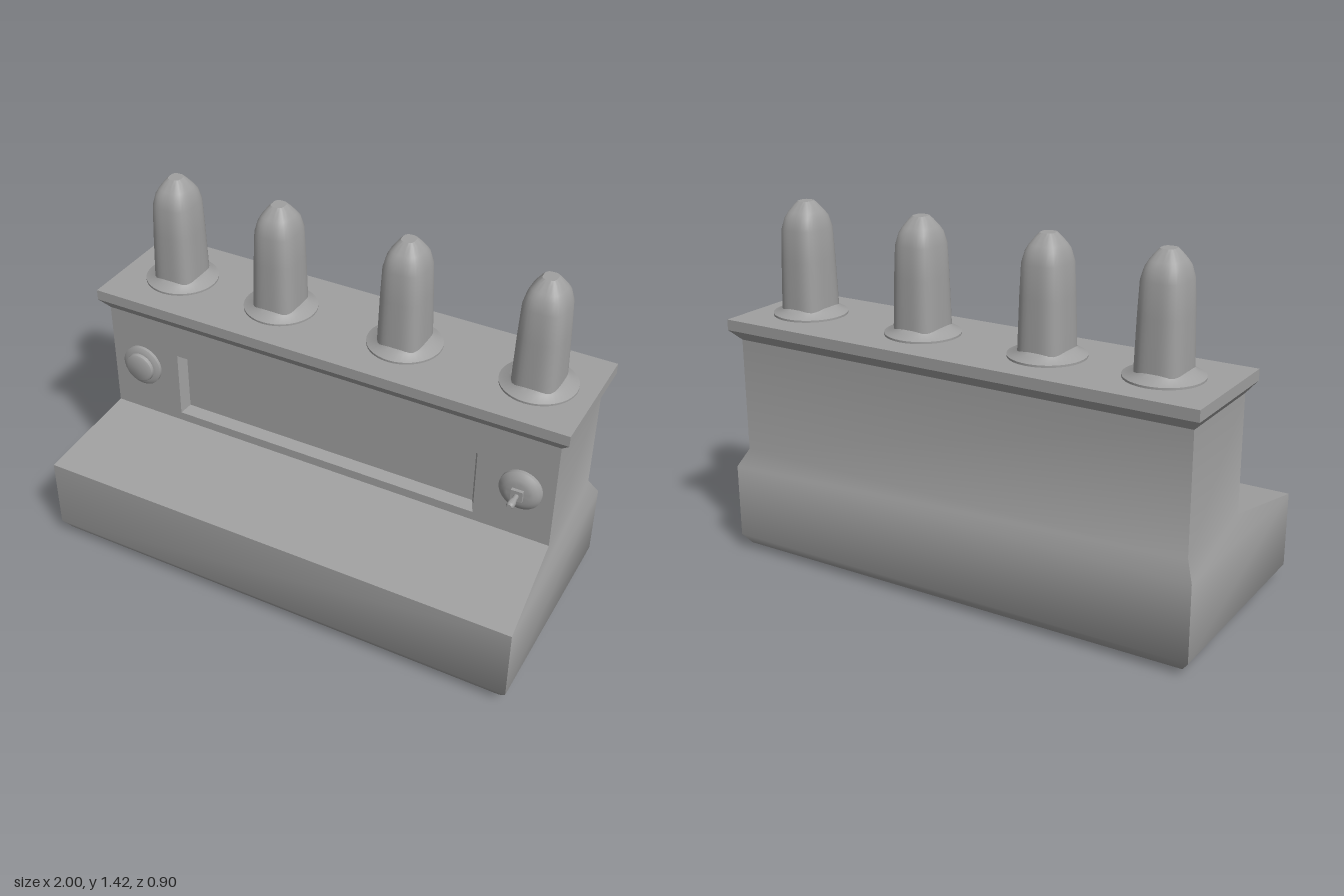
import * as THREE from 'three';
import { toCreasedNormals } from 'three/addons/utils/BufferGeometryUtils.js';

const grey = new THREE.MeshStandardMaterial({ color: 0xa0a0a0 });
grey.name = 'plain grey';

// Joins equal-length loops of points with quads; skip(section, side) leaves a quad open.
function loft(sections, { start = true, end = true, skip = () => false, crease = 0.72 } = {}) {
  const pos = [];
  const tri = (...pts) => pts.forEach((p) => pos.push(p.x, p.y, p.z));
  const n = sections[0].length;
  for (let s = 0; s < sections.length - 1; s++) {
    const lo = sections[s], hi = sections[s + 1];
    for (let i = 0; i < n; i++) {
      if (skip(s, i)) continue;
      const j = (i + 1) % n;
      tri(lo[i], lo[j], hi[j]);
      tri(lo[i], hi[j], hi[i]);
    }
  }
  const first = sections[0], last = sections[sections.length - 1];
  for (let i = 1; i < n - 1; i++) {
    if (start) tri(first[0], first[i + 1], first[i]);
    if (end) tri(last[0], last[i], last[i + 1]);
  }
  const geometry = new THREE.BufferGeometry();
  geometry.setAttribute('position', new THREE.Float32BufferAttribute(pos, 3));
  return toCreasedNormals(geometry, crease);
}

// Horizontal rectangle, front edge first
const slab = (y, x, back, front) => [
  [-x, front], [x, front], [x, back], [-x, back],
].map(([px, pz]) => new THREE.Vector3(px, y, pz));

// Upright rectangle facing the front
const panel = (z, x0, x1, y0, y1) => [
  [x0, y0], [x1, y0], [x1, y1], [x0, y1],
].map(([px, py]) => new THREE.Vector3(px, py, z));

// Horizontal rounded square; power 2 is an ellipse, higher is squarer
function roundedRing(y, rx, rz, power, sides = 40) {
  return Array.from({ length: sides }, (_, i) => {
    const t = (i / sides) * Math.PI * 2;
    const s = Math.sin(t), c = Math.cos(t);
    const k = Math.pow(Math.abs(s) ** power + Math.abs(c) ** power, -1 / power);
    return new THREE.Vector3(s * k * rx, y, c * k * rz);
  });
}

// Turned shape whose axis points to the front: profile of [radius, depth]
function turned(profile, sides = 32) {
  const points = profile.map(([r, d]) => new THREE.Vector2(r, d));
  return toCreasedNormals(new THREE.LatheGeometry(points, sides).rotateX(Math.PI / 2), 0.6);
}

export function createModel() {
  const model = new THREE.Group();
  model.name = 'console';
  const add = (name, geometry, parent = model) => {
    const mesh = new THREE.Mesh(geometry, grey);
    mesh.name = name;
    parent.add(mesh);
    return mesh;
  };

  // Stepped base and upright cabinet, with the cabinet front left open
  add('body', loft([
    slab(0, 0.93, -0.38, 0.38),
    slab(0.02, 0.97, -0.425, 0.425),
    slab(0.06, 1, -0.45, 0.45),
    slab(0.36, 1, -0.45, 0.45),
    slab(0.43, 0.965, -0.41, 0.02),
    slab(0.89, 0.965, -0.41, 0.02),
  ], { end: false, skip: (s, i) => s === 4 && i === 0 }));

  // Cabinet front with the window opening
  const toPath = (Type, pts) => new Type(pts.map((p) => new THREE.Vector2(p.x, p.y)));
  const rim = panel(0.02, -0.655, 0.655, 0.467, 0.75);
  const front = toPath(THREE.Shape, panel(0.02, -0.965, 0.965, 0.43, 0.89));
  front.holes.push(toPath(THREE.Path, rim));
  add('cabinetFront', new THREE.ShapeGeometry(front).translate(0, 0, 0.02));

  // Sloped window frame and its back panel
  add('windowRecess', loft([rim, panel(-0.02, -0.635, 0.635, 0.488, 0.733)],
    { start: false, crease: 0.2 }));

  // Overhanging lid with a bevelled underside
  add('lid', loft([
    slab(0.89, 0.965, -0.41, 0.02),
    slab(0.933, 1, -0.45, 0.052),
    slab(0.976, 1, -0.45, 0.052),
  ], { crease: 0.3 }));

  // Four rounded-square posts, each on a round flange
  const flange = loft([
    roundedRing(0.97, 0.147, 0.147, 2),
    roundedRing(0.984, 0.147, 0.147, 2),
    roundedRing(1.0, 0.11, 0.12, 2),
    roundedRing(1.012, 0.092, 0.104, 2.6),
  ]);
  const post = loft([
    roundedRing(0.975, 0.092, 0.104, 3.4),
    roundedRing(1.02, 0.091, 0.103, 3.4),
    roundedRing(1.2, 0.086, 0.097, 3.4),
    roundedRing(1.32, 0.081, 0.091, 3.4),
    roundedRing(1.365, 0.07, 0.079, 3.2),
    roundedRing(1.385, 0.06, 0.065, 3),
    roundedRing(1.412, 0.04, 0.042, 3),
    roundedRing(1.425, 0.027, 0.03, 3),
  ]);
  [-0.755, -0.295, 0.245, 0.785].forEach((x, i) => {
    const group = new THREE.Group();
    group.name = `post${i + 1}`;
    group.position.set(x, 0, -0.2);
    add('flange', flange, group);
    add('shaft', post, group);
    model.add(group);
  });

  // Round push button on the right
  add('button', turned([
    [0.087, 0], [0.087, 0.013], [0.075, 0.02], [0.063, 0.022], [0.061, 0.036], [0.052, 0.041], [0, 0.041],
  ])).position.set(-0.825, 0.655, 0.02);

  // Toggle switch on the left: plate, square collar and lever
  const toggle = new THREE.Group();
  toggle.name = 'toggleSwitch';
  toggle.position.set(0.835, 0.655, 0.02);
  add('plate', turned([
    [0.084, 0], [0.084, 0.013], [0.075, 0.022], [0.06, 0.032], [0.045, 0.036], [0, 0.036],
  ]), toggle);
  add('collar', new THREE.BoxGeometry(0.046, 0.046, 0.02), toggle).position.z = 0.04;
  add('lever', turned([
    [0.01, 0.04], [0.01, 0.07], [0.015, 0.09], [0.015, 0.108], [0.009, 0.116], [0, 0.117],
  ], 16), toggle);
  model.add(toggle);

  return model;
}
